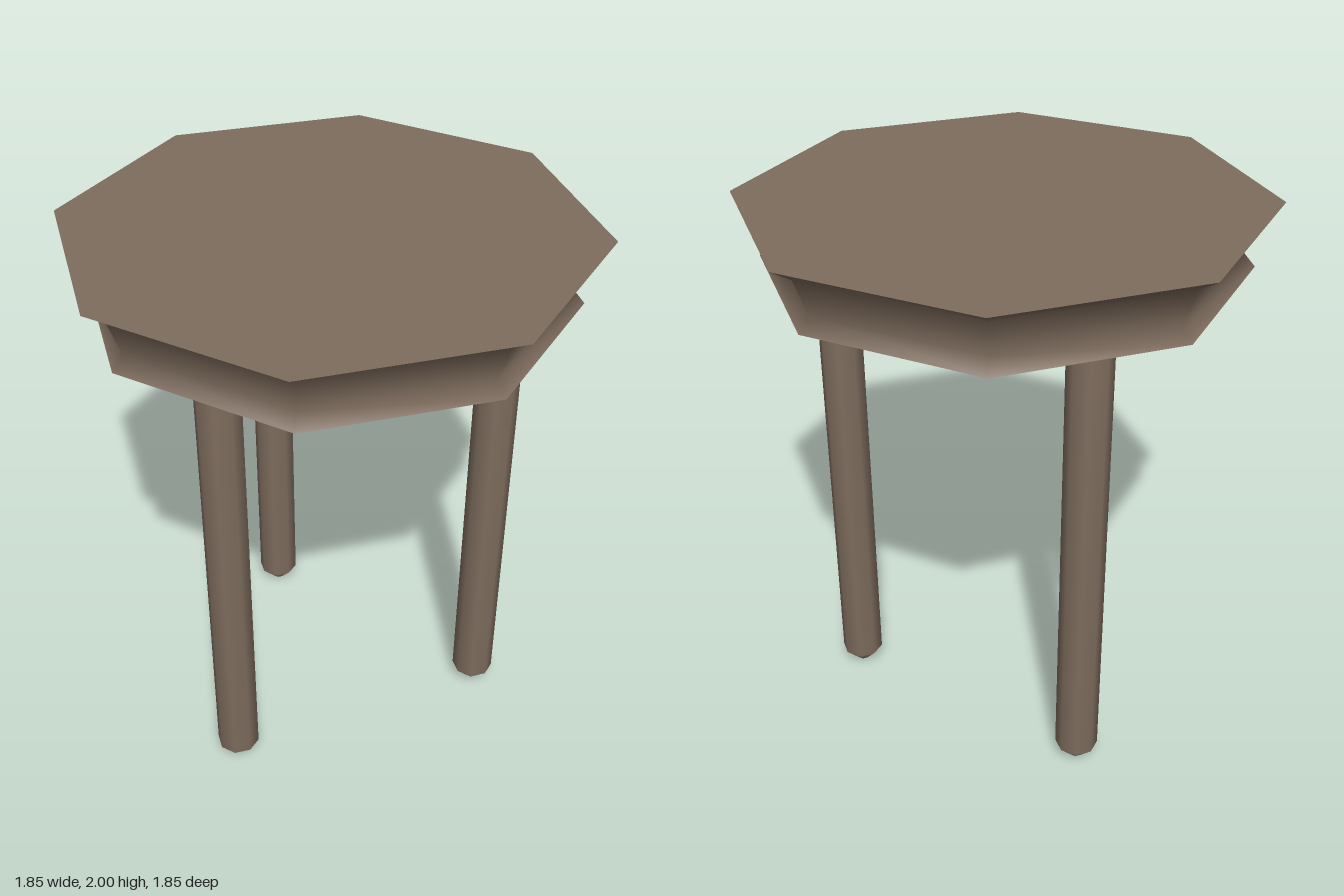
import * as THREE from 'three';

const SIDES = 8;

// Octagonal turned shape from [radius, height] pairs, listed bottom to top
function turned(profile, material) {
  const points = profile.map(([r, y]) => new THREE.Vector2(r, y));
  return new THREE.Mesh(new THREE.LatheGeometry(points, SIDES), material);
}

// Flat octagonal disc facing up or down
function disc(name, radius, y, up, material) {
  const geometry = new THREE.CircleGeometry(radius, SIDES);
  geometry.rotateX(up ? -Math.PI / 2 : Math.PI / 2);
  const mesh = new THREE.Mesh(geometry, material);
  mesh.name = name;
  mesh.position.y = y;
  return mesh;
}

export function createModel() {
  const wood = new THREE.MeshStandardMaterial({ color: 0x7f6d5e });
  wood.name = 'brown wood';

  const model = new THREE.Group();
  model.name = 'stool';

  // Seat: waisted rim closed by a flat top and underside
  const seat = new THREE.Group();
  seat.name = 'seat';
  const rim = turned([[0.845, 1.77], [0.803, 1.82], [0.848, 1.95], [0.925, 2]], wood);
  rim.name = 'seatRim';
  seat.add(
    rim,
    disc('seatTop', 0.925, 2, true, wood),
    disc('seatUnderside', 0.845, 1.77, false, wood)
  );
  model.add(seat);

  // Three straight legs with tapered ends
  const legProfile = [[0, 0], [0.022, 0], [0.078, 0.06], [0.078, 1.71], [0.022, 1.768], [0, 1.768]];
  [[0.585, 0], [-0.295, 0.51], [-0.295, -0.51]].forEach(([x, z], i) => {
    const leg = turned(legProfile, wood);
    leg.name = ['leftLeg', 'frontRightLeg', 'backRightLeg'][i];
    leg.position.set(x, 0, z);
    model.add(leg);
  });

  return model;
}
